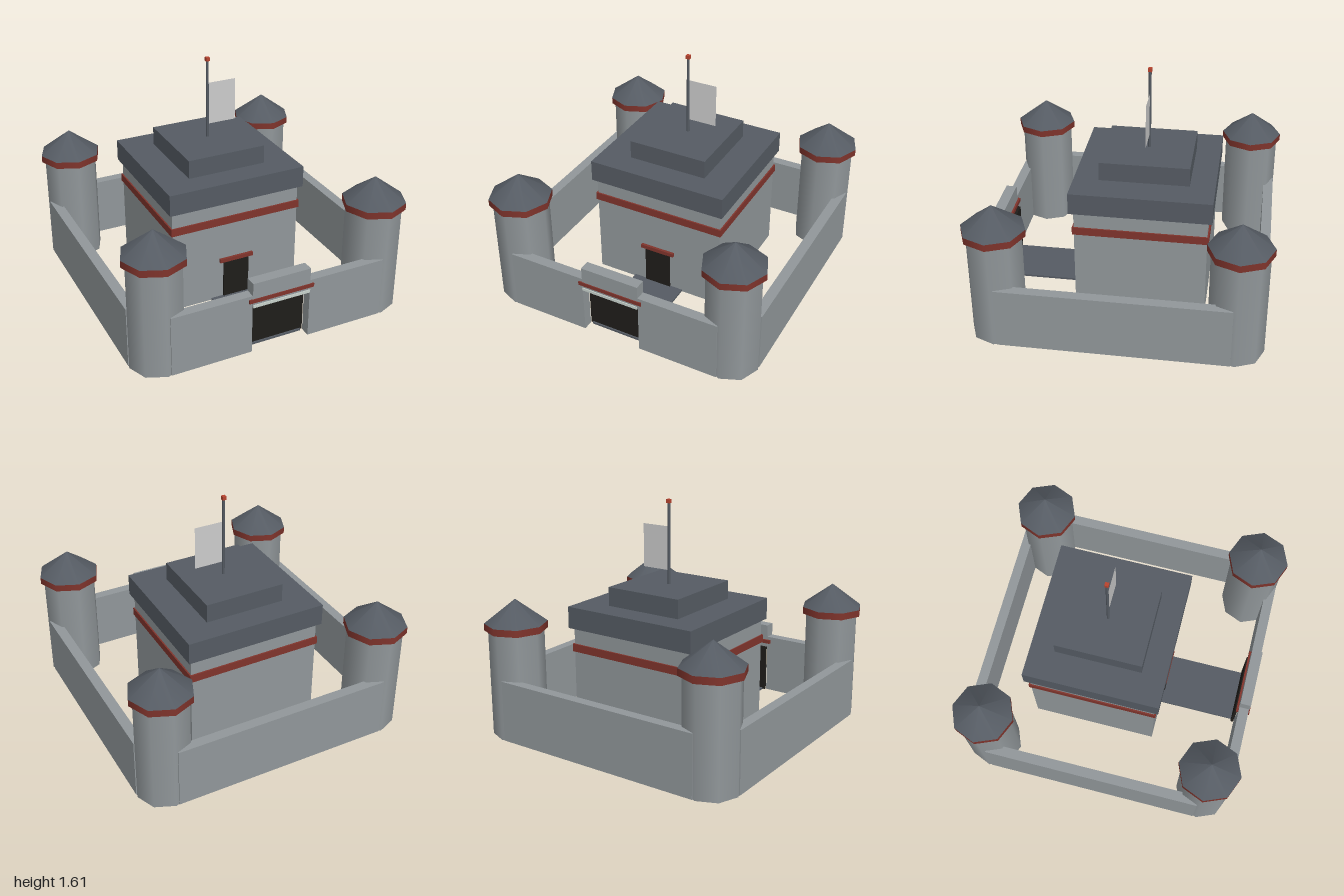
import * as THREE from 'three';

const mat = (color) => new THREE.MeshStandardMaterial({ color });

export function createModel() {
  const castle = new THREE.Group();
  castle.name = 'castle';
  const stone = mat(0x91979a), slate = mat(0x555b63), red = mat(0x80342c);
  const dark = mat(0x1f1d1a), pale = mat(0xc8d2cc), finial = mat(0xb8442f);
  const cloth = new THREE.MeshStandardMaterial({ color: 0xcccccc, side: THREE.DoubleSide });

  const add = (name, geometry, material, x, y, z, parent = castle) => {
    const mesh = new THREE.Mesh(geometry, material);
    mesh.name = name;
    mesh.position.set(x, y, z);
    parent.add(mesh);
    return mesh;
  };
  // box given by its extents on each axis
  const block = (name, material, [x0, x1], [y0, y1], [z0, z1], parent) =>
    add(name, new THREE.BoxGeometry(x1 - x0, y1 - y0, z1 - z0), material,
      (x0 + x1) / 2, (y0 + y1) / 2, (z0 + z1) / 2, parent);

  // corner towers
  const C = 0.787;
  for (const sx of [-1, 1]) for (const sz of [-1, 1]) {
    const tower = new THREE.Group();
    tower.name = 'cornerTower';
    tower.position.set(sx * C, 0, sz * C);
    castle.add(tower);
    add('towerShaft', new THREE.CylinderGeometry(0.188, 0.188, 0.76, 8), stone, 0, 0.38, 0, tower);
    add('towerBand', new THREE.CylinderGeometry(0.213, 0.213, 0.048, 8), red, 0, 0.769, 0, tower);
    add('towerRoof', new THREE.ConeGeometry(0.213, 0.162, 8), slate, 0, 0.874, 0, tower);
  }

  // curtain walls, the front one split by the gate
  const L = 0.765, inner = 0.903, outer = 0.973, H = 0.425, G = 0.207;
  block('backWall', stone, [-L, L], [0, H], [-outer, -inner]);
  for (const s of [-1, 1]) {
    const span = (a, b) => (s > 0 ? [a, b] : [-b, -a]);
    block('sideWall', stone, span(inner, outer), [0, H], [-L, L]);
    block('frontWall', stone, span(G, L), [0, H], [inner, outer]);
  }

  // gatehouse
  block('gateParapet', stone, [-G, G], [0.34, 0.515], [inner - 0.003, outer + 0.003]);
  block('gateLintel', red, [-0.233, 0.233], [0.375, 0.402], [0.886, 0.982]);
  block('gateTrim', pale, [-0.205, 0.205], [0.338, 0.358], [0.96, 0.982]);
  block('gateDoor', dark, [-0.205, 0.205], [0.004, 0.345], [0.88, 0.9]);
  block('path', slate, [-0.187, 0.187], [0, 0.014], [0.3, 0.91]);

  // keep, stacked square tiers around one centre
  const Z = -0.112;
  const tier = (name, material, hx, hz, y0, y1) =>
    block(name, material, [-hx, hx], [y0, y1], [Z - hz, Z + hz]);
  tier('keepBody', stone, 0.47, 0.445, 0, 0.76);
  tier('keepBand', red, 0.48, 0.456, 0.583, 0.637);
  tier('keepRoofLower', slate, 0.495, 0.475, 0.75, 0.9);
  tier('keepRoofUpper', slate, 0.281, 0.304, 0.9, 1.03);
  block('keepDoor', dark, [-0.095, 0.095], [0.014, 0.29], [0.32, 0.343]);
  block('keepLintel', red, [-0.125, 0.125], [0.29, 0.317], [0.32, 0.352]);

  // flag
  add('flagPole', new THREE.CylinderGeometry(0.01, 0.01, 0.56, 8), slate, 0, 1.31, Z);
  block('poleFinial', finial, [-0.013, 0.013], [1.582, 1.608], [Z - 0.013, Z + 0.013]);
  add('flag', new THREE.PlaneGeometry(0.2, 0.3), cloth, 0.11, 1.274, Z);

  return castle;
}
